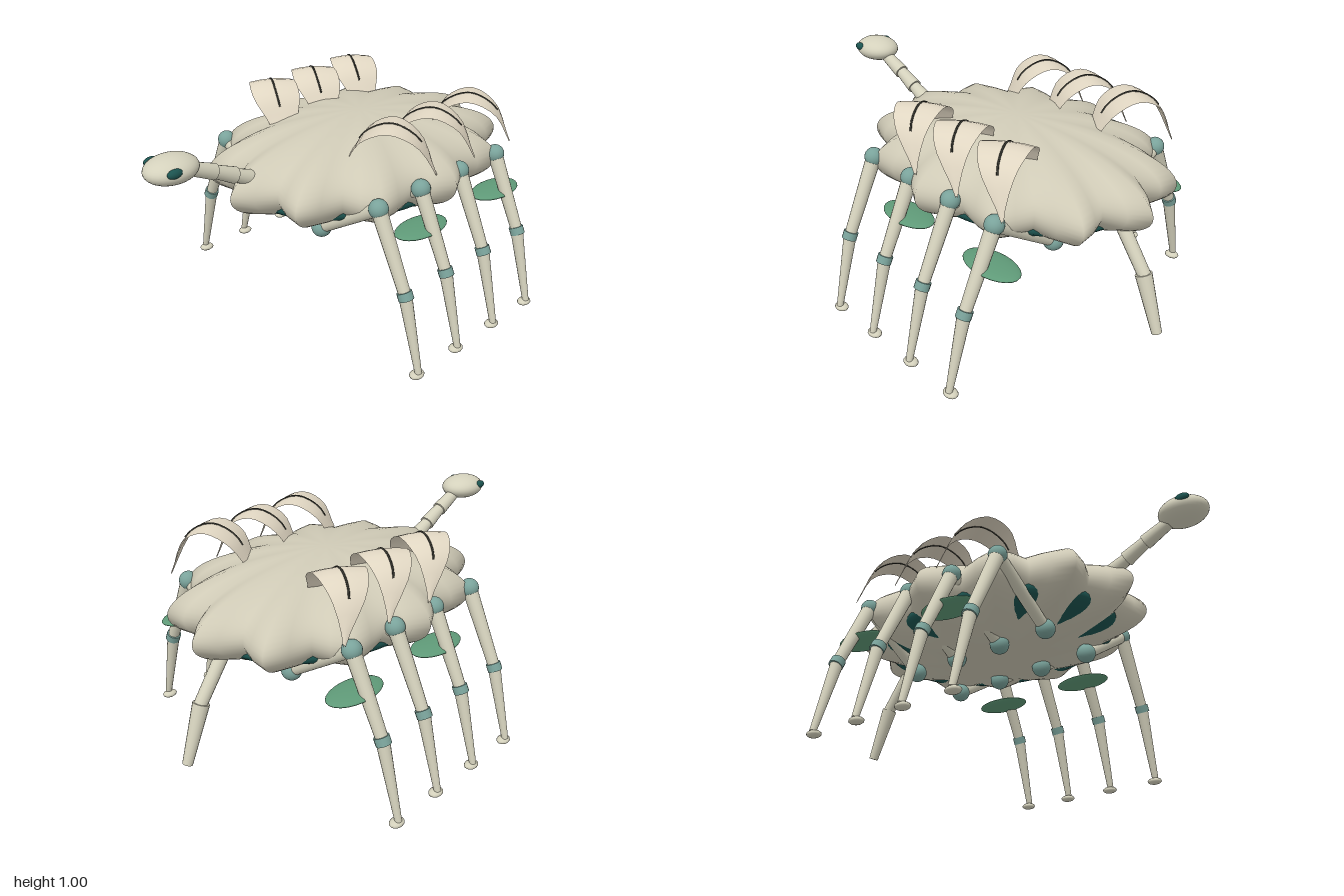
import * as THREE from 'three';
import { mergeVertices } from 'three/addons/utils/BufferGeometryUtils.js';

const mat = (color, side = THREE.FrontSide) => new THREE.MeshStandardMaterial({ color, side });
const shell = mat(0xcfcab6), limb = mat(0xd4d1bc), joint = mat(0x7aa39b), dark = mat(0x1c5450);
const leafGreen = mat(0x5f9a78), finMat = mat(0xe0d6c2, THREE.DoubleSide), ribMat = mat(0x33332c);
const V = (x, y, z) => new THREE.Vector3(x, y, z);

function add(parent, name, geometry, material) {
  const mesh = new THREE.Mesh(geometry, material);
  mesh.name = name;
  parent.add(mesh);
  return mesh;
}

function ellipsoid(parent, name, c, r, material, w = 24, h = 16) {
  const mesh = add(parent, name, new THREE.SphereGeometry(1, w, h), material);
  mesh.position.copy(c);
  mesh.scale.set(...r);
  return mesh;
}

// Tapered cylinder running from point a to point b
function rod(parent, name, a, b, ra, rb, material, sides = 16) {
  const dir = b.clone().sub(a);
  const mesh = add(parent, name, new THREE.CylinderGeometry(rb, ra, dir.length(), sides), material);
  mesh.position.copy(a).add(b).multiplyScalar(0.5);
  mesh.quaternion.setFromUnitVectors(V(0, 1, 0), dir.normalize());
  return mesh;
}

// Flattened ellipsoid with twelve scalloped lobes
function scallopedBody() {
  let g = new THREE.SphereGeometry(1, 48, 32);
  const p = g.attributes.position;
  for (let i = 0; i < p.count; i++) {
    const f = 0.915 + 0.085 * Math.cos(12 * Math.atan2(p.getX(i), p.getZ(i)));
    p.setXYZ(i, p.getX(i) * f * 0.58, p.getY(i) * 0.2, p.getZ(i) * f * 0.76);
  }
  g.deleteAttribute('uv');
  g.deleteAttribute('normal');
  g = mergeVertices(g, 1e-4);
  g.computeVertexNormals();
  return g;
}

// Arched leaf: a strip swept along a curve, blunt at the root and pointed at the tip
const finPath = new THREE.CatmullRomCurve3([
  V(0.22, 0.85, 0.13), V(0.285, 0.95, 0.11), V(0.38, 0.995, 0.06), V(0.475, 0.94, 0), V(0.52, 0.77, -0.075)]);
const finWidth = new THREE.SplineCurve([
  new THREE.Vector2(0, 0.065), new THREE.Vector2(0.3, 0.105), new THREE.Vector2(0.6, 0.105),
  new THREE.Vector2(0.85, 0.07), new THREE.Vector2(1, 0.004)]);

function finGeometry() {
  const n = 14, m = 4, pos = [], index = [];
  const across = V(0.52, 0, 0.85).normalize();
  for (let i = 0; i <= n; i++) {
    const c = finPath.getPoint(i / n), w = finWidth.getPoint(i / n).y;
    for (let j = 0; j <= m; j++) {
      const s = (j / m) * 2 - 1;
      const q = c.clone().addScaledVector(across, s * w);
      pos.push(q.x, q.y - 0.01 * s * s, q.z);
      if (i < n && j < m) {
        const a = i * (m + 1) + j, b = a + m + 1;
        index.push(a, a + 1, b, b, a + 1, b + 1);
      }
    }
  }
  const g = new THREE.BufferGeometry();
  g.setAttribute('position', new THREE.Float32BufferAttribute(pos, 3));
  g.setIndex(index);
  g.computeVertexNormals();
  return g;
}

function ribGeometry() {
  const pts = [];
  for (let i = 0; i <= 10; i++) pts.push(finPath.getPoint(0.14 + 0.064 * i));
  return new THREE.TubeGeometry(new THREE.CatmullRomCurve3(pts), 20, 0.0045, 6);
}

function leg(parent, s, z) {
  const g = new THREE.Group();
  g.name = 'leg';
  g.position.z = z;
  parent.add(g);
  const hip = V(0.16 * s, 0.5, 0), knee = V(0.495 * s, 0.715, 0);
  const ankle = V(0.655 * s, 0.375, 0), toe = V(0.745 * s, 0.03, 0);
  ellipsoid(g, 'hipJoint', hip, [0.045, 0.045, 0.045], joint);
  rod(g, 'thigh', hip, knee, 0.028, 0.03, limb);
  ellipsoid(g, 'kneeJoint', knee, [0.042, 0.042, 0.042], joint);
  rod(g, 'shin', knee, ankle, 0.034, 0.026, limb);
  const along = ankle.clone().sub(knee).setLength(0.018);
  rod(g, 'ankleBand', ankle.clone().sub(along), ankle.clone().add(along), 0.033, 0.033, joint);
  rod(g, 'lowerLeg', ankle, toe, 0.029, 0.015, limb);
  ellipsoid(g, 'foot', V(0.737 * s, 0.02, 0), [0.029, 0.016, 0.037], limb, 12, 8);
}

export function createModel() {
  const model = new THREE.Group();
  model.name = 'creature';

  add(model, 'body', scallopedBody(), shell).position.set(0, 0.7, -0.14);
  // Inner core showing through the valleys of the underside
  ellipsoid(model, 'innerCore', V(0, 0.63, -0.14), [0.464, 0.11, 0.608], dark, 48, 24);

  // Neck and head
  const neck = [V(0, 0.765, 0.5), V(0, 0.808, 0.59), V(0, 0.857, 0.69), V(0, 0.91, 0.81)];
  for (let i = 0; i < 3; i++) rod(model, 'neckSegment', neck[i], neck[i + 1], 0.037 - 0.001 * i, 0.028, limb);
  ellipsoid(model, 'head', V(0, 0.935, 0.885), [0.095, 0.056, 0.115], limb, 32, 20);

  // Tail
  rod(model, 'tailBase', V(0, 0.64, -0.73), V(0, 0.43, -0.885), 0.03, 0.028, limb);
  rod(model, 'tailTip', V(0, 0.435, -0.88), V(0, 0.187, -0.975), 0.036, 0.022, limb);

  // Paired parts
  const fin = finGeometry(), rib = ribGeometry();
  for (const s of [1, -1]) {
    ellipsoid(model, 'eye', V(0.08 * s, 0.95, 0.92), [0.018, 0.019, 0.034], dark, 16, 12);
    for (let i = 0; i < 4; i++) leg(model, s, 0.255 - 0.26 * i);
    for (const z of [0, -0.525]) ellipsoid(model, 'sidePad', V(0.51 * s, 0.538, z), [0.082, 0.018, 0.145], leafGreen);
    for (let i = 0; i < 3; i++) {
      const g = new THREE.Group();
      g.name = 'backFin';
      g.position.z = -0.26 * i;
      g.scale.x = s;
      add(g, 'finBlade', fin, finMat);
      add(g, 'finRib', rib, ribMat);
      model.add(g);
    }
  }
  return model;
}
